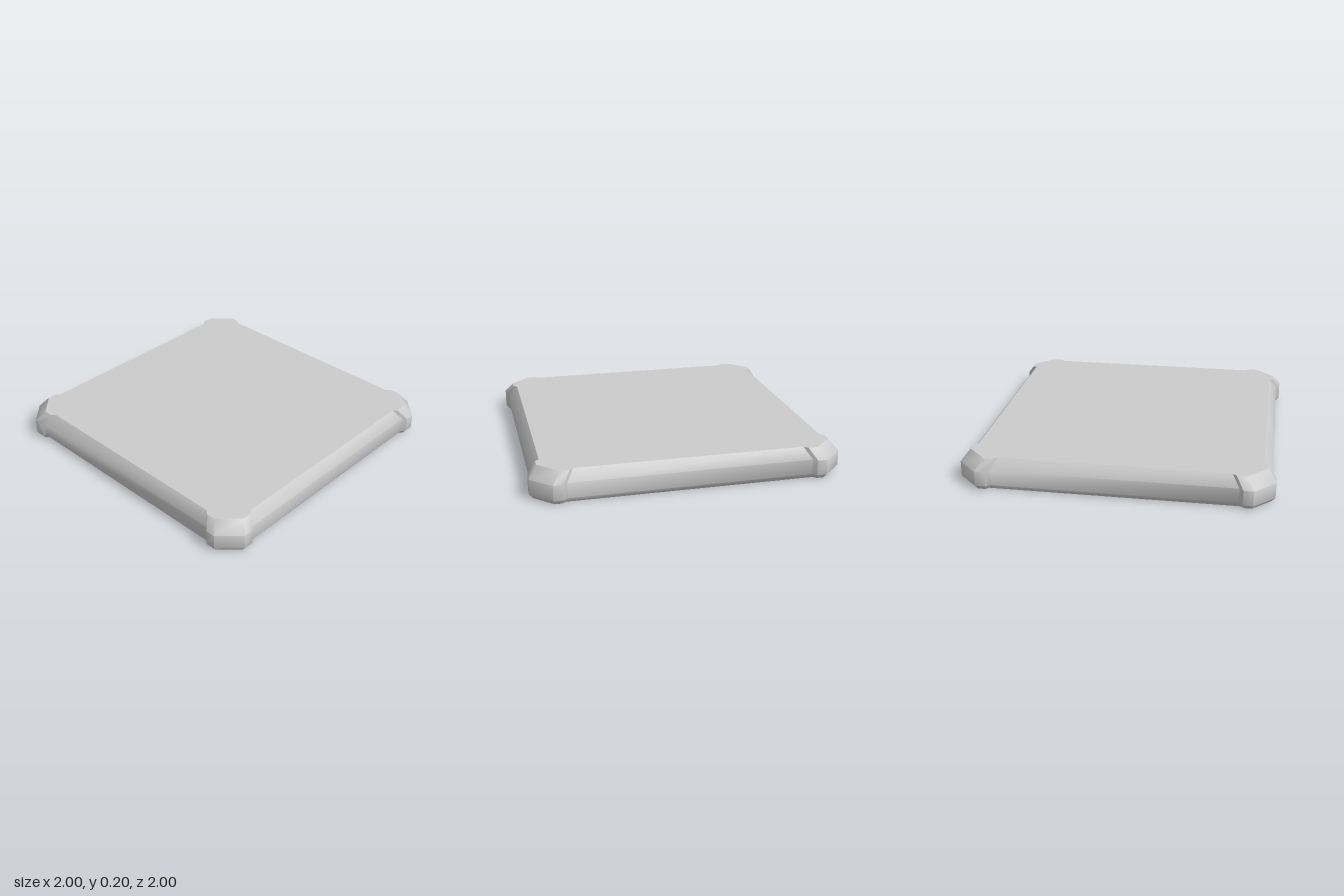
import * as THREE from 'three';
import { toCreasedNormals } from 'three/addons/utils/BufferGeometryUtils.js';

// Each level: y, edge = half width of the straight sides, out = reach of the corner guards,
// a / b = where the guard step starts and ends, k = where the chamfer starts
const LEVELS = [
  { y: 0, edge: 0.955, out: 0.975, a: 0.795, b: 0.815, k: 0.86 },
  { y: 0.03, edge: 0.975, out: 1, a: 0.78, b: 0.805, k: 0.87 },
  { y: 0.13, edge: 0.975, out: 1, a: 0.78, b: 0.805, k: 0.87 },
  { y: 0.2, edge: 0.92, out: 0.945, a: 0.735, b: 0.76, k: 0.82 },
];

// One outline: a corner's six points turned through four quarters
function ring({ y, edge, out, a, b, k }) {
  let corner = [[edge, a], [out, b], [out, k], [k, out], [b, out], [a, edge]];
  const points = [];
  for (let q = 0; q < 4; q++) {
    points.push(...corner.map(([x, z]) => new THREE.Vector3(x, y, z)));
    corner = corner.map(([x, z]) => [-z, x]);
  }
  return points;
}

function makeMesh(name, triangles) {
  const geometry = toCreasedNormals(new THREE.BufferGeometry().setFromPoints(triangles), 0.87);
  const mesh = new THREE.Mesh(geometry, new THREE.MeshStandardMaterial({ color: 0xcccccc }));
  mesh.name = name;
  return mesh;
}

// Flat panel filling an outline
function cap(points, up) {
  const centre = new THREE.Vector3(0, points[0].y, 0);
  return points.flatMap((p, i) => {
    const next = points[(i + 1) % points.length];
    return up ? [centre, next, p] : [centre, p, next];
  });
}

export function createModel() {
  const group = new THREE.Group();
  group.name = 'squareTile';
  const rings = LEVELS.map(ring);

  // Rounded rim with raised corner guards
  const sides = [];
  for (let l = 0; l < rings.length - 1; l++) {
    const low = rings[l], high = rings[l + 1];
    low.forEach((p, i) => {
      const j = (i + 1) % low.length;
      sides.push(p, high[i], low[j], low[j], high[i], high[j]);
    });
  }
  group.add(makeMesh('rim', sides));

  // Top and bottom panels
  group.add(makeMesh('topPanel', cap(rings[rings.length - 1], true)));
  group.add(makeMesh('bottomPanel', cap(rings[0], false)));
  return group;
}
